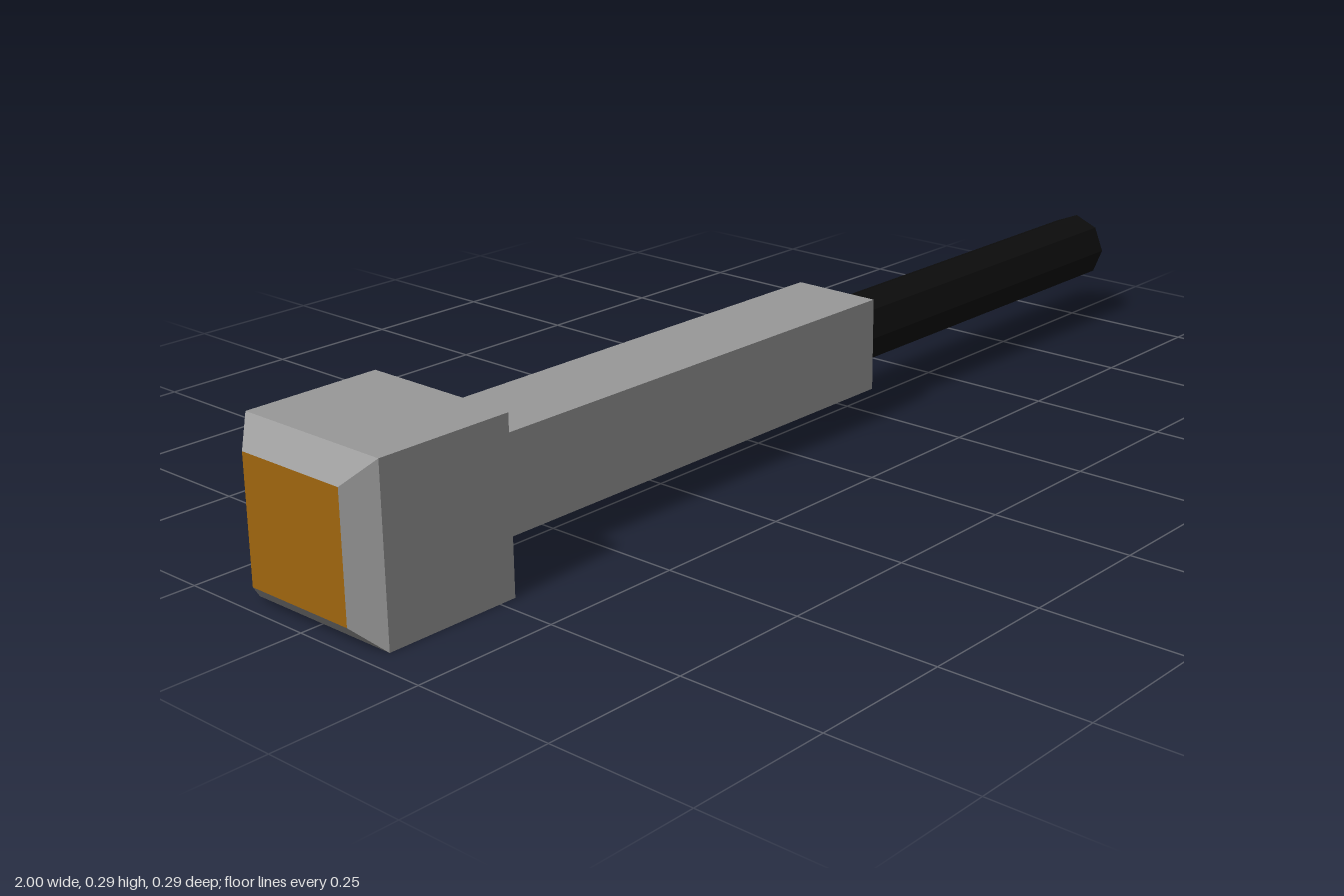
import * as THREE from 'three';

const AXIS_Y = 0.145; // height of the tool's long axis

// Faceted prism along x; profile is [distance from axis to edge, x], from -x to +x.
function prism(name, profile, sides, material) {
  const square = sides === 4;
  const scale = square ? Math.SQRT2 : 1; // square profiles give half widths
  const points = profile.map(([r, x]) => new THREE.Vector2(r * scale, x));
  const lathe = new THREE.LatheGeometry(points, sides, square ? Math.PI / 4 : 0);
  const geometry = lathe.toNonIndexed();
  geometry.computeVertexNormals(); // flat facets
  geometry.rotateZ(-Math.PI / 2);
  const mesh = new THREE.Mesh(geometry, material);
  mesh.name = name;
  mesh.position.y = AXIS_Y;
  return mesh;
}

export function createModel() {
  const metal = new THREE.MeshStandardMaterial({ color: 0x999999 });
  metal.name = 'grey metal';
  const amber = new THREE.MeshStandardMaterial({ color: 0xa0660e });
  amber.name = 'amber';
  const black = new THREE.MeshStandardMaterial({ color: 0x0c0c0c });
  black.name = 'black grip';

  const model = new THREE.Group();
  model.name = 'tool';

  // Square head with a chamfered end
  model.add(prism('head', [[0.105, -1], [0.145, -0.96], [0.145, -0.72], [0, -0.72]], 4, metal));
  // Coloured end face
  model.add(prism('endFace', [[0, -1], [0.105, -1]], 4, amber));
  // Square shaft
  model.add(prism('shaft', [[0.083, -0.72], [0.083, 0.215], [0, 0.215]], 4, metal));
  // Octagonal grip with a shallow recess in its end
  model.add(prism('grip', [
    [0.064, 0.215], [0.064, 1], [0.048, 1], [0.048, 0.99], [0, 0.99],
  ], 8, black));

  return model;
}
